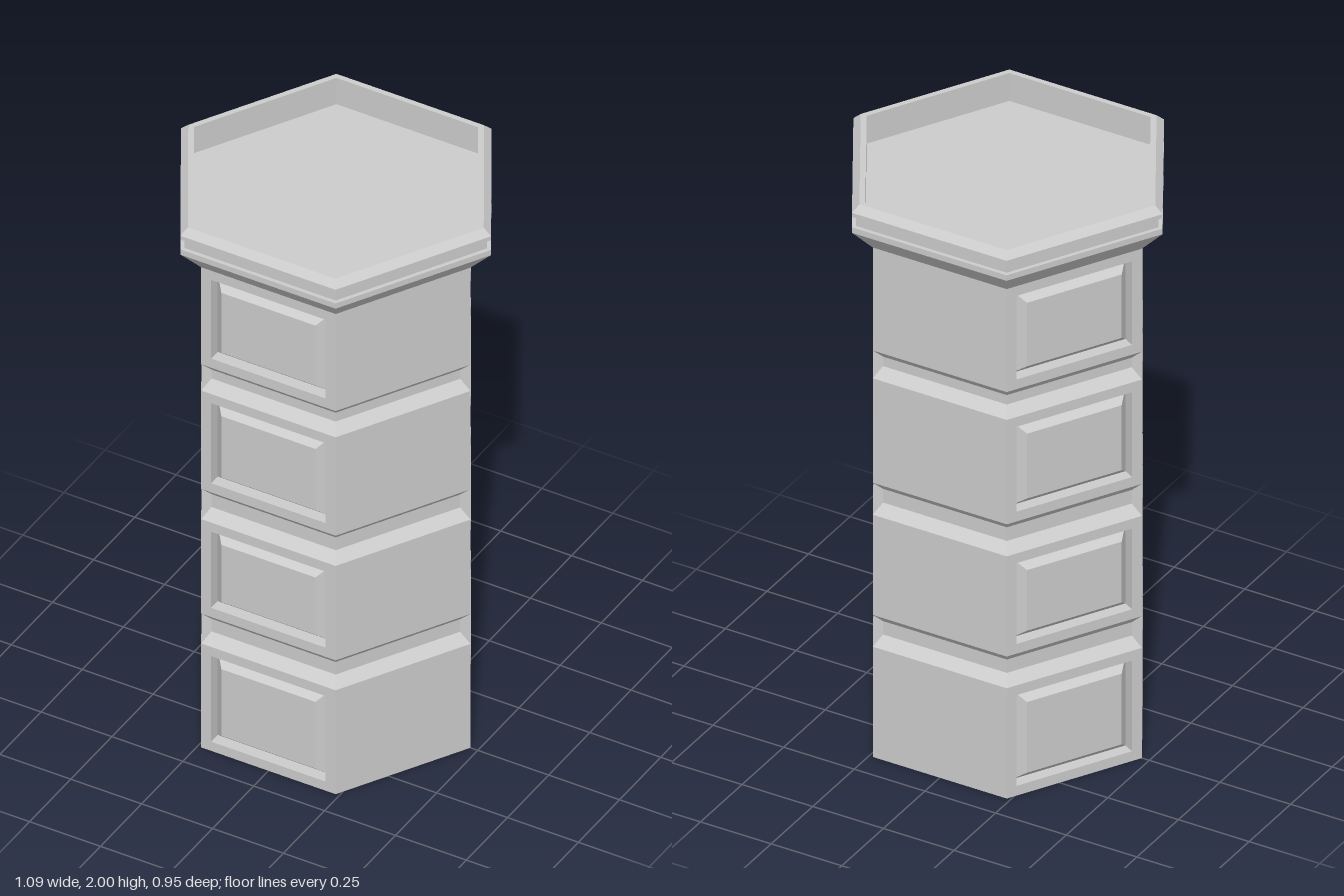
import * as THREE from 'three';

const RADIUS = 0.474;                         // hexagon corner radius of the shaft
const HALF = RADIUS / 2;                      // half the width of one side
const APOTHEM = RADIUS * Math.cos(Math.PI / 6);
const BLOCKS = [[0, 0.396], [0.51, 0.87], [0.985, 1.36], [1.46, 1.83]];
const INSET = 0.035, BEVEL = 0.036, DEPTH = 0.04;

const material = new THREE.MeshStandardMaterial({ color: 0xcccccc, flatShading: true });

function mesh(geometry, name) {
  const m = new THREE.Mesh(geometry, material);
  m.name = name;
  return m;
}

// Six-sided turned part with corners on the x axis; profile runs up the outside
function hexLathe(profile, name) {
  const points = profile.map(([r, y]) => new THREE.Vector2(r, y));
  const g = new THREE.LatheGeometry(points, 6, Math.PI / 2).toNonIndexed();
  g.computeVertexNormals();
  return mesh(g, name);
}

// Wall built from nested rectangles, each [inset, depth], closed by a flat cap
function nestedWall(y0, y1, steps, name) {
  const loops = steps.map(([i, d]) => {
    const x = HALF - i, z = APOTHEM - d;
    return [[-x, y0 + i, z], [x, y0 + i, z], [x, y1 - i, z], [-x, y1 - i, z]];
  });
  const positions = [];
  const quad = (a, b, c, d) => positions.push(...a, ...b, ...c, ...a, ...c, ...d);
  for (let s = 0; s + 1 < loops.length; s++) {
    for (let k = 0; k < 4; k++) {
      const n = (k + 1) % 4;
      quad(loops[s][k], loops[s][n], loops[s + 1][n], loops[s + 1][k]);
    }
  }
  quad(...loops[loops.length - 1]);
  const g = new THREE.BufferGeometry();
  g.setAttribute('position', new THREE.Float32BufferAttribute(positions, 3));
  g.computeVertexNormals();
  return mesh(g, name);
}

export function createModel() {
  const column = new THREE.Group();
  column.name = 'hexagonalColumn';

  // Shaft blocks: every other side has a bevelled panel in a sunken frame
  const plain = [[0, 0]];
  const panelled = [[0, 0], [INSET, 0], [INSET, DEPTH], [INSET + BEVEL, 0]];
  BLOCKS.forEach(([y0, y1], b) => {
    const block = new THREE.Group();
    block.name = `shaftBlock${b + 1}`;
    for (let k = 0; k < 6; k++) {
      const hasPanel = k % 2 === 0;
      const wall = nestedWall(y0, y1, hasPanel ? panelled : plain, hasPanel ? 'panelledWall' : 'plainWall');
      wall.rotation.y = k * Math.PI / 3;
      block.add(wall);
    }
    column.add(block);
  });

  // Narrow waists between the blocks
  for (let b = 0; b < BLOCKS.length - 1; b++) {
    const low = BLOCKS[b][1], high = BLOCKS[b + 1][0];
    column.add(hexLathe([
      [RADIUS, low], [0.438, low + 0.033], [0.438, high - 0.033], [RADIUS, high],
    ], `waist${b + 1}`));
  }

  // Underside
  column.add(hexLathe([[0, 0], [RADIUS, 0]], 'base'));

  // Flared crown with a grooved rim around a sunken top
  column.add(hexLathe([
    [RADIUS, 1.83], [0.547, 1.905], [0.547, 1.925], [0.532, 1.925], [0.532, 1.962],
    [0.547, 1.962], [0.547, 1.977], [0.521, 2], [0.5, 2], [0.5, 1.9], [0, 1.9],
  ], 'crown'));

  return column;
}
